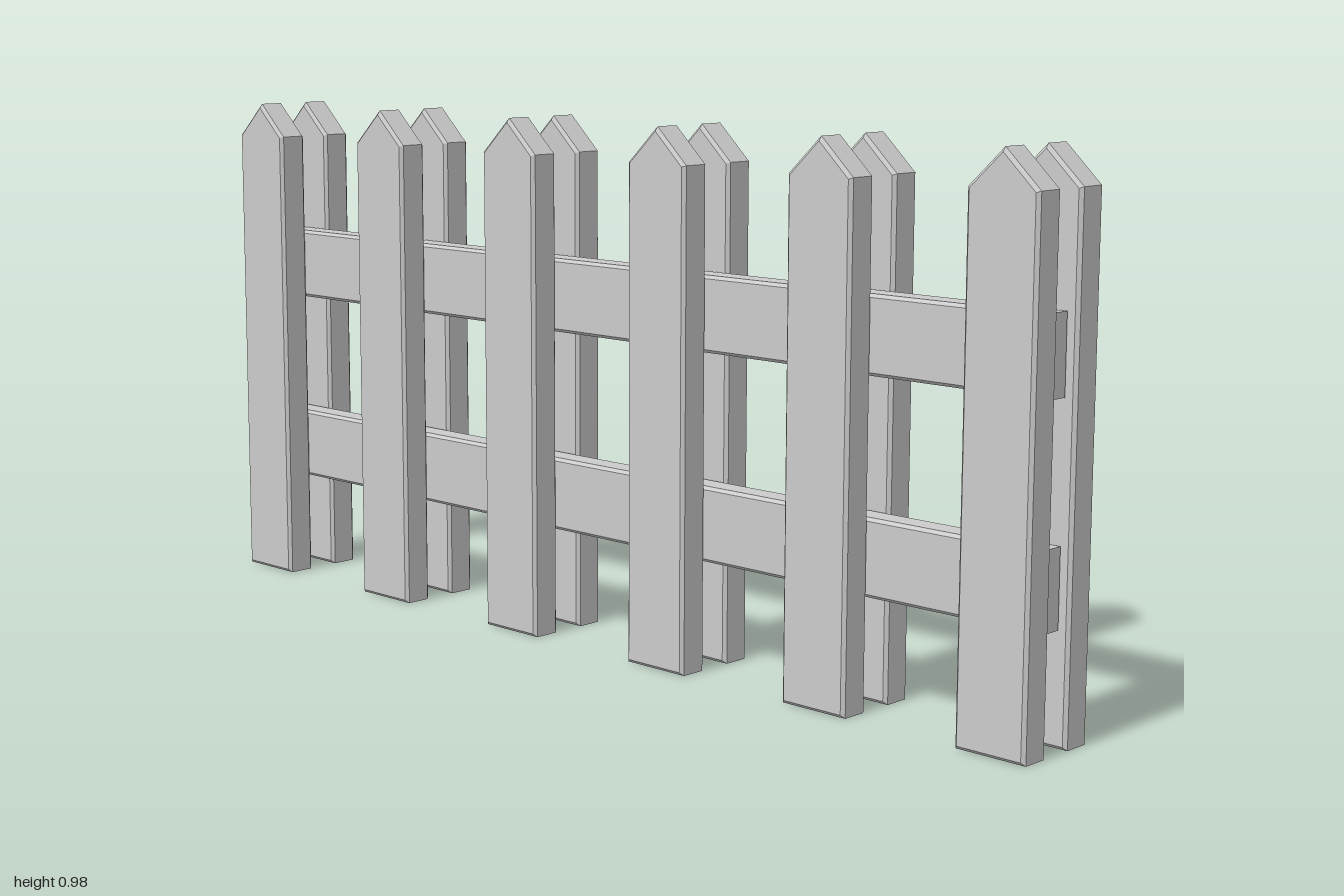
import * as THREE from 'three';

const BEVEL = 0.006;
const material = new THREE.MeshStandardMaterial({ color: 0xcccccc, flatShading: true });

// Board with an outline in the z-y plane, chamfered edges, thickness along x
function board(name, outline, thickness) {
  const shape = new THREE.Shape(outline.map(([z, y]) => new THREE.Vector2(z, y)));
  const geometry = new THREE.ExtrudeGeometry(shape, {
    depth: thickness - 2 * BEVEL,
    bevelThickness: BEVEL,
    bevelSize: BEVEL,
    bevelOffset: -BEVEL,
    bevelSegments: 1,
  });
  geometry.translate(0, 0, BEVEL - thickness / 2);
  geometry.rotateY(Math.PI / 2);
  const mesh = new THREE.Mesh(geometry, material);
  mesh.name = name;
  return mesh;
}

export function createModel() {
  const fence = new THREE.Group();
  fence.name = 'picketFence';

  // Pointed pickets in pairs, one on each side of the rails
  const w = 0.069, shoulder = 0.91, tip = 0.975;
  const picketOutline = [[-w, 0], [w, 0], [w, shoulder], [0, tip], [-w, shoulder]];
  for (const z of [0.931, 0.563, 0.192, -0.187, -0.557, -0.931]) {
    for (const side of [1, -1]) {
      const picket = board(side > 0 ? 'leftPicket' : 'rightPicket', picketOutline, 0.06);
      picket.position.set(side * 0.057, 0, z);
      fence.add(picket);
    }
  }

  // Two horizontal rails sandwiched between the pickets
  const l = 0.983, h = 0.069;
  const railOutline = [[-l, -h], [l, -h], [l, h], [-l, h]];
  for (const [name, y] of [['lowerRail', 0.268], ['upperRail', 0.646]]) {
    const rail = board(name, railOutline, 0.055);
    rail.position.y = y;
    fence.add(rail);
  }
  return fence;
}
